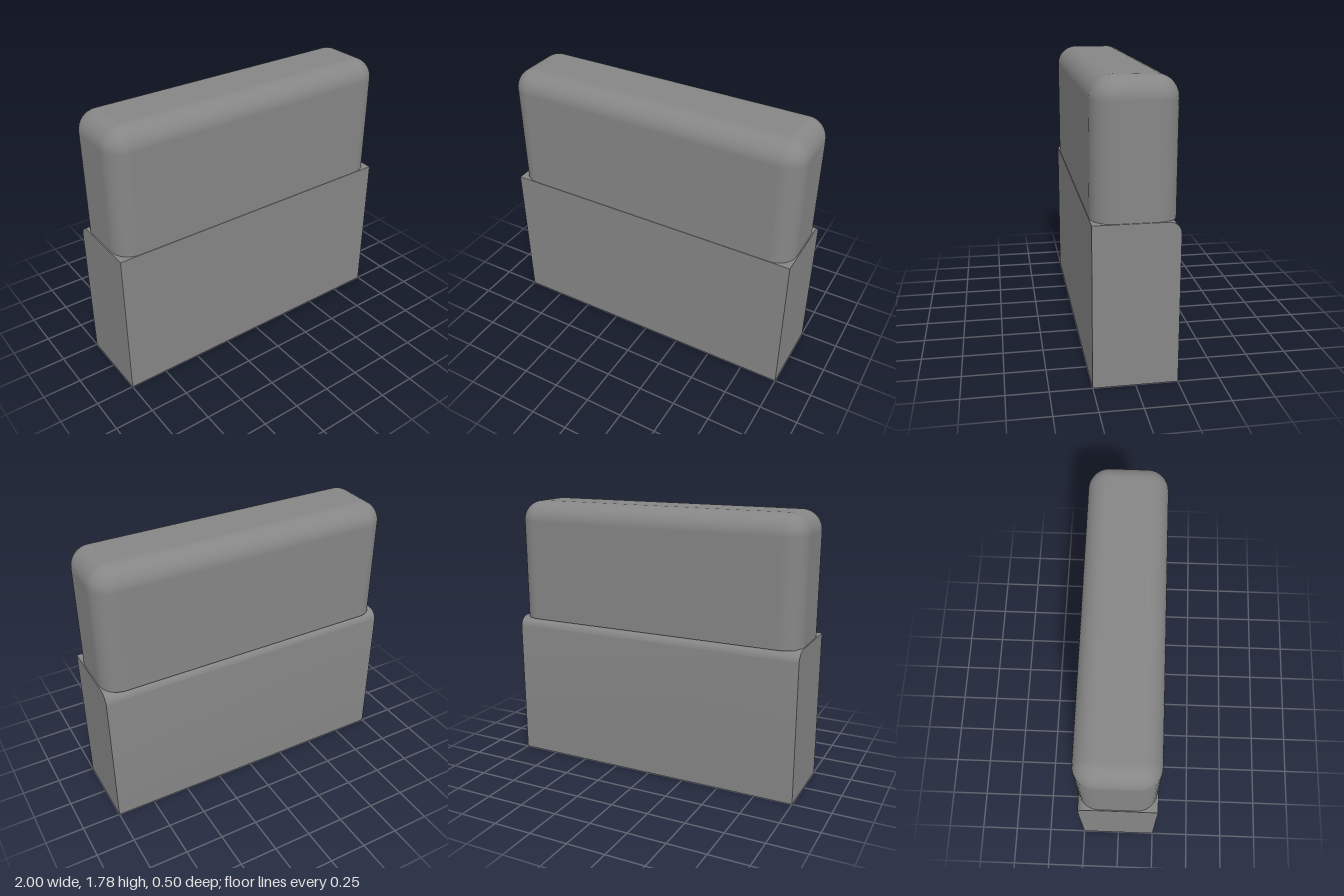
import * as THREE from 'three';
import { toCreasedNormals } from 'three/addons/utils/BufferGeometryUtils.js';

const grey = new THREE.MeshStandardMaterial({ color: 0x868686 });
const greyOpen = new THREE.MeshStandardMaterial({ color: 0x868686, side: THREE.DoubleSide });

// Block whose upper rear edge is rounded: side profile extruded across x
function baseGeometry(width, height, depth, r) {
  const d = depth / 2;
  const profile = new THREE.Shape();
  profile.moveTo(-d, 0);
  profile.lineTo(d, 0);
  profile.lineTo(d, height - r);
  profile.absarc(d - r, height - r, r, 0, Math.PI / 2, false);
  profile.lineTo(-d, height);
  profile.closePath();
  const geo = new THREE.ExtrudeGeometry(profile, { depth: width, bevelEnabled: false, curveSegments: 8 });
  geo.translate(0, 0, -width / 2).rotateY(Math.PI / 2);
  return toCreasedNormals(geo, Math.PI / 6);
}

// Rounded block, open underneath: stacked rounded-rectangle rings
function capGeometry(width, depth, y0, y1, r, steps = 10) {
  const cx = width / 2 - r, cz = depth / 2 - r;
  const n = 4 * (steps + 1);
  const pos = [], nor = [], idx = [];
  const ring = (y, t) => {
    const c = Math.cos(t);
    for (let q = 0; q < 4; q++) {
      const sx = q === 0 || q === 3 ? 1 : -1, sz = q < 2 ? 1 : -1;
      for (let i = 0; i <= steps; i++) {
        const a = (q + i / steps) * Math.PI / 2;
        pos.push(sx * cx + r * c * Math.cos(a), y, sz * cz + r * c * Math.sin(a));
        nor.push(c * Math.cos(a), Math.sin(t), c * Math.sin(a));
      }
    }
  };
  // Straight wall, then the rounded shoulder
  ring(y0, 0);
  for (let k = 0; k <= steps; k++) {
    const t = k / steps * Math.PI / 2;
    ring(y1 - r + r * Math.sin(t), t);
  }
  for (let k = 0; k <= steps; k++) {
    for (let i = 0; i < n; i++) {
      const a = k * n + i, b = k * n + (i + 1) % n;
      idx.push(a, a + n, b, b, a + n, b + n);
    }
  }
  // Flat top as a fan on the last ring
  const last = (steps + 1) * n, centre = last + n;
  pos.push(0, y1, 0);
  nor.push(0, 1, 0);
  for (let i = 0; i < n; i++) idx.push(centre, last + (i + 1) % n, last + i);

  const geo = new THREE.BufferGeometry();
  geo.setAttribute('position', new THREE.Float32BufferAttribute(pos, 3));
  geo.setAttribute('normal', new THREE.Float32BufferAttribute(nor, 3));
  geo.setIndex(idx);
  return geo;
}

export function createModel() {
  const group = new THREE.Group();
  const base = new THREE.Mesh(baseGeometry(2, 0.98, 0.502, 0.07), grey);
  base.name = 'base';
  const cap = new THREE.Mesh(capGeometry(1.987, 0.495, 0.977, 1.777, 0.13), greyOpen);
  cap.name = 'roundedCap';
  group.add(base, cap);
  return group;
}
